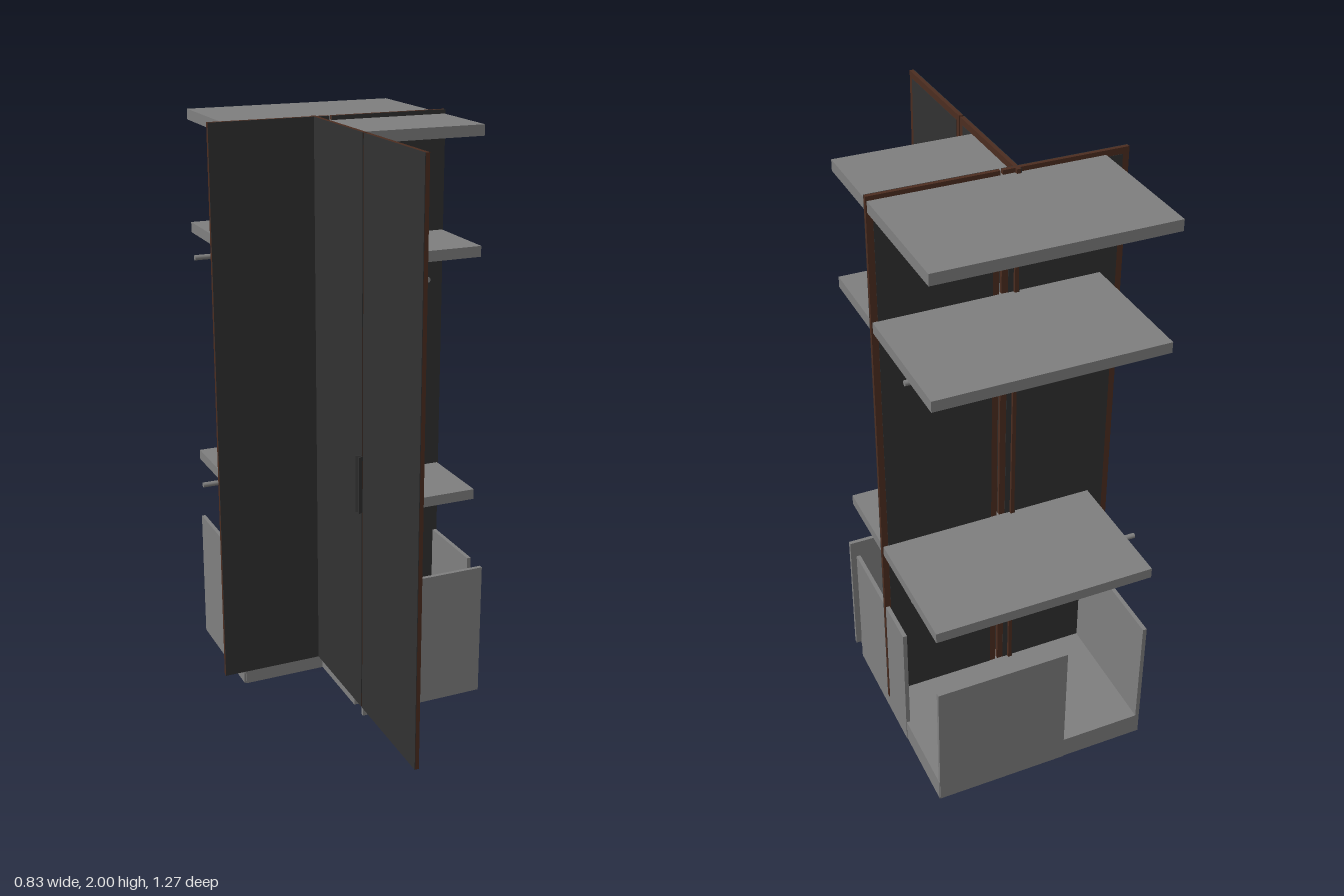
import * as THREE from 'three';

const grey = new THREE.MeshStandardMaterial({ color: 0x7f7f7f });
grey.name = 'grey board';
const dark = new THREE.MeshStandardMaterial({ color: 0x313131 });
dark.name = 'dark door face';
const brown = new THREE.MeshStandardMaterial({ color: 0x4c2d20 });
brown.name = 'brown door frame';

// Box given by its lower and upper limits on each axis
function block(parent, name, mat, [x0, x1], [y0, y1], [z0, z1]) {
  const mesh = new THREE.Mesh(new THREE.BoxGeometry(x1 - x0, y1 - y0, z1 - z0), mat);
  mesh.position.set((x0 + x1) / 2, (y0 + y1) / 2, (z0 + z1) / 2);
  mesh.name = name;
  parent.add(mesh);
  return mesh;
}

// L-shaped board, optionally drawn in from its outer edges
function cornerBoard(parent, name, y0, y1, inset = 0) {
  const left = -0.34 + inset, right = 0.407, back = 0.635, front = -0.11 + inset;
  const shape = new THREE.Shape([
    [left, back], [left, 0.185], [-0.04, 0.185], [-0.04, front], [right, front], [right, back],
  ].map(([x, y]) => new THREE.Vector2(x, y)));
  const geo = new THREE.ExtrudeGeometry(shape, { depth: y1 - y0, bevelEnabled: false });
  geo.rotateX(-Math.PI / 2);
  const mesh = new THREE.Mesh(geo, grey);
  mesh.position.y = y0;
  mesh.name = name;
  parent.add(mesh);
}

// Hanging rod between two points
function rod(parent, name, a, b) {
  const from = new THREE.Vector3(...a), to = new THREE.Vector3(...b);
  const dir = to.clone().sub(from);
  const mesh = new THREE.Mesh(new THREE.CylinderGeometry(0.009, 0.009, dir.length(), 16), grey);
  mesh.position.copy(from).add(to).multiplyScalar(0.5);
  mesh.quaternion.setFromUnitVectors(new THREE.Vector3(0, 1, 0), dir.normalize());
  mesh.name = name;
  parent.add(mesh);
}

// Door leaf lying in the xy plane: full dark outer face (+z), framed inner face (-z)
function doorLeaf(name, x0, x1) {
  const leaf = new THREE.Group();
  leaf.name = name;
  const f = 0.021;
  block(leaf, 'doorFrame', brown, [x0, x1], [0.055, 2], [-0.007, 0.006]);
  block(leaf, 'outerFace', dark, [x0, x1], [0.055, 2], [0.006, 0.008]);
  block(leaf, 'innerFace', dark, [x0 + f, x1 - f], [0.055 + f, 2 - f], [-0.008, -0.006]);
  return leaf;
}

// Pair of leaves meeting at x = 0, with two splayed grip plates over the joint
function doorPair(name) {
  const pair = new THREE.Group();
  pair.name = name;
  pair.add(doorLeaf('firstLeaf', -0.414, -0.004), doorLeaf('secondLeaf', 0.004, 0.414));
  for (const side of [-1, 1]) {
    const grip = block(pair, 'handle', dark, [-0.002, 0.002], [0.78, 0.975], [-0.01, 0.01]);
    grip.position.x = side * 0.007;
    grip.position.z = 0.018;
    grip.rotation.y = side * 0.5;
  }
  return pair;
}

export function createModel() {
  const model = new THREE.Group();
  model.name = 'cornerWardrobe';

  // Shelves, bottom board and plinth
  cornerBoard(model, 'topShelf', 1.95, 1.986);
  cornerBoard(model, 'middleShelf', 1.56, 1.596);
  cornerBoard(model, 'lowerShelf', 0.708, 0.744);
  cornerBoard(model, 'bottomBoard', 0.04, 0.078);
  cornerBoard(model, 'plinth', 0, 0.04, 0.004);

  // Low panels around the base
  const h = [0, 0.48];
  block(model, 'sidePanel', grey, [0.395, 0.409], h, [-0.345, 0.1]);
  block(model, 'backPanel', grey, [-0.05, 0.405], h, [-0.637, -0.623]);
  block(model, 'endPanel', grey, [-0.342, -0.328], h, [-0.635, -0.19]);
  block(model, 'frontPanel', grey, [-0.042, 0.407], h, [0.171, 0.185]);

  // Hanging rods
  rod(model, 'upperCrossRod', [-0.4, 1.52, -0.415], [0.4, 1.52, -0.415]);
  rod(model, 'upperFrontRod', [0.182, 1.52, -0.42], [0.182, 1.52, 0.178]);
  rod(model, 'lowerCrossRod', [-0.4, 0.695, -0.415], [0.4, 0.695, -0.415]);

  // Two door pairs at right angles
  const frontDoors = doorPair('frontDoors');
  frontDoors.position.set(-0.003, 0, -0.18);
  const sideDoors = doorPair('sideDoors');
  sideDoors.rotation.y = -Math.PI / 2;
  sideDoors.position.set(-0.053, 0, 0.216);
  model.add(frontDoors, sideDoors);

  return model;
}
